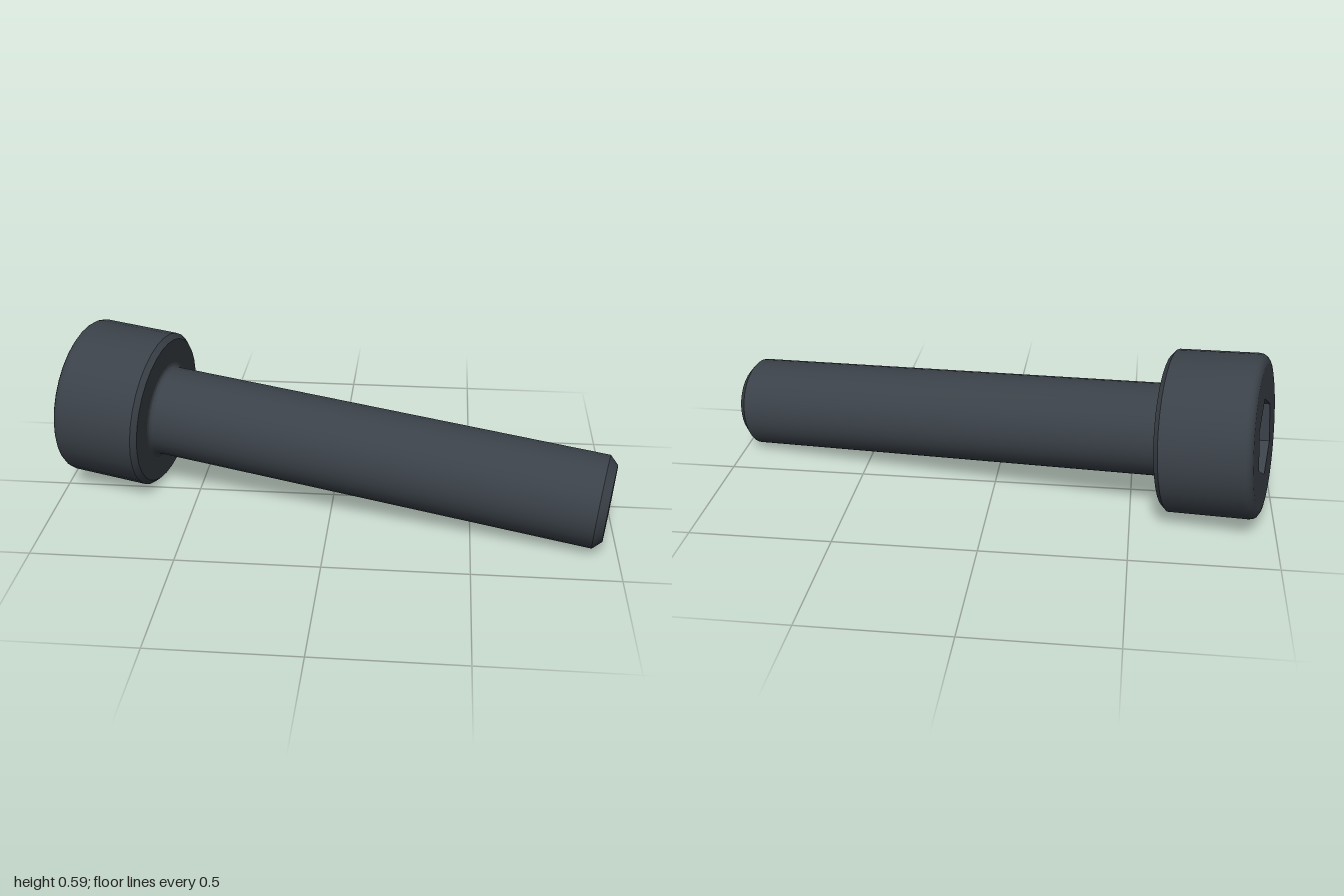
import * as THREE from 'three';
import { toCreasedNormals } from 'three/addons/utils/BufferGeometryUtils.js';

const SIDES = 32;
const SHAFT_R = 0.1635, SHAFT_L = 1.636, TIP_CHAMFER = 0.03;
const HEAD_R = 0.286, HEAD_H = 0.327, HEAD_ROUND = 0.033, HEAD_CHAMFER = 0.018;
const HEX_R = 0.142, HEX_DEPTH = 0.164;

// Points of a quarter-round from angle a0 to a1 (degrees)
function arc(cx, cy, r, a0, a1, steps = 4) {
  return Array.from({ length: steps + 1 }, (_, i) => {
    const a = THREE.MathUtils.degToRad(a0 + ((a1 - a0) * i) / steps);
    return [cx + r * Math.cos(a), cy + r * Math.sin(a)];
  });
}

// Turned surface with sharp edges kept
function turned(points, sides) {
  const lathe = new THREE.LatheGeometry(points.map(([x, y]) => new THREE.Vector2(x, y)), sides);
  return toCreasedNormals(lathe, THREE.MathUtils.degToRad(32));
}

// Regular polygon outline
function polygon(r, n) {
  return Array.from({ length: n }, (_, i) => {
    const a = (i / n) * Math.PI * 2;
    return new THREE.Vector2(r * Math.sin(a), r * Math.cos(a));
  });
}

export function createModel() {
  const steel = new THREE.MeshStandardMaterial({ color: 0x3a4148 });
  steel.name = 'blackened steel';
  const model = new THREE.Group();
  model.name = 'socketScrew';
  const add = (name, geometry) => {
    const mesh = new THREE.Mesh(geometry, steel);
    mesh.name = name;
    model.add(mesh);
  };

  // Shaft: chamfered tip, straight body, small fillet under the head
  const f = 0.016;
  add('shaft', turned([
    [0, -SHAFT_L], [SHAFT_R - TIP_CHAMFER, -SHAFT_L], [SHAFT_R, -SHAFT_L + TIP_CHAMFER],
    ...arc(SHAFT_R + f, -f, f, 180, 90),
  ], SIDES));

  // Head: flat underside, chamfered lower edge, rounded upper edge
  add('head', turned([
    [SHAFT_R + f, 0], [HEAD_R - HEAD_CHAMFER, 0], [HEAD_R, HEAD_CHAMFER],
    ...arc(HEAD_R - HEAD_ROUND, HEAD_H - HEAD_ROUND, HEAD_ROUND, 0, 90),
  ], SIDES));

  // End face with the hexagonal opening
  const face = new THREE.Shape(polygon(HEAD_R - HEAD_ROUND, SIDES));
  face.holes.push(new THREE.Path(polygon(HEX_R, 6)));
  add('headFace', new THREE.ShapeGeometry(face).rotateX(-Math.PI / 2).translate(0, HEAD_H, 0));

  // Socket walls and floor, facing inward
  add('hexSocket', turned([
    [HEX_R, HEAD_H], [HEX_R, HEAD_H - HEX_DEPTH], [0, HEAD_H - HEX_DEPTH],
  ], 6));

  // Lay the screw down so that tip and head both touch the ground
  const axis = new THREE.Vector3(-0.9747, 0.076, -0.2105).normalize();
  const up = new THREE.Vector3(0, 1, 0).addScaledVector(axis, -axis.y).normalize();
  const side = new THREE.Vector3().crossVectors(axis, up);
  model.quaternion.setFromRotationMatrix(new THREE.Matrix4().makeBasis(side, axis, up));
  model.position.set(-0.626, 0.285, -0.079);

  const root = new THREE.Group();
  root.name = 'model';
  root.add(model);
  return root;
}
